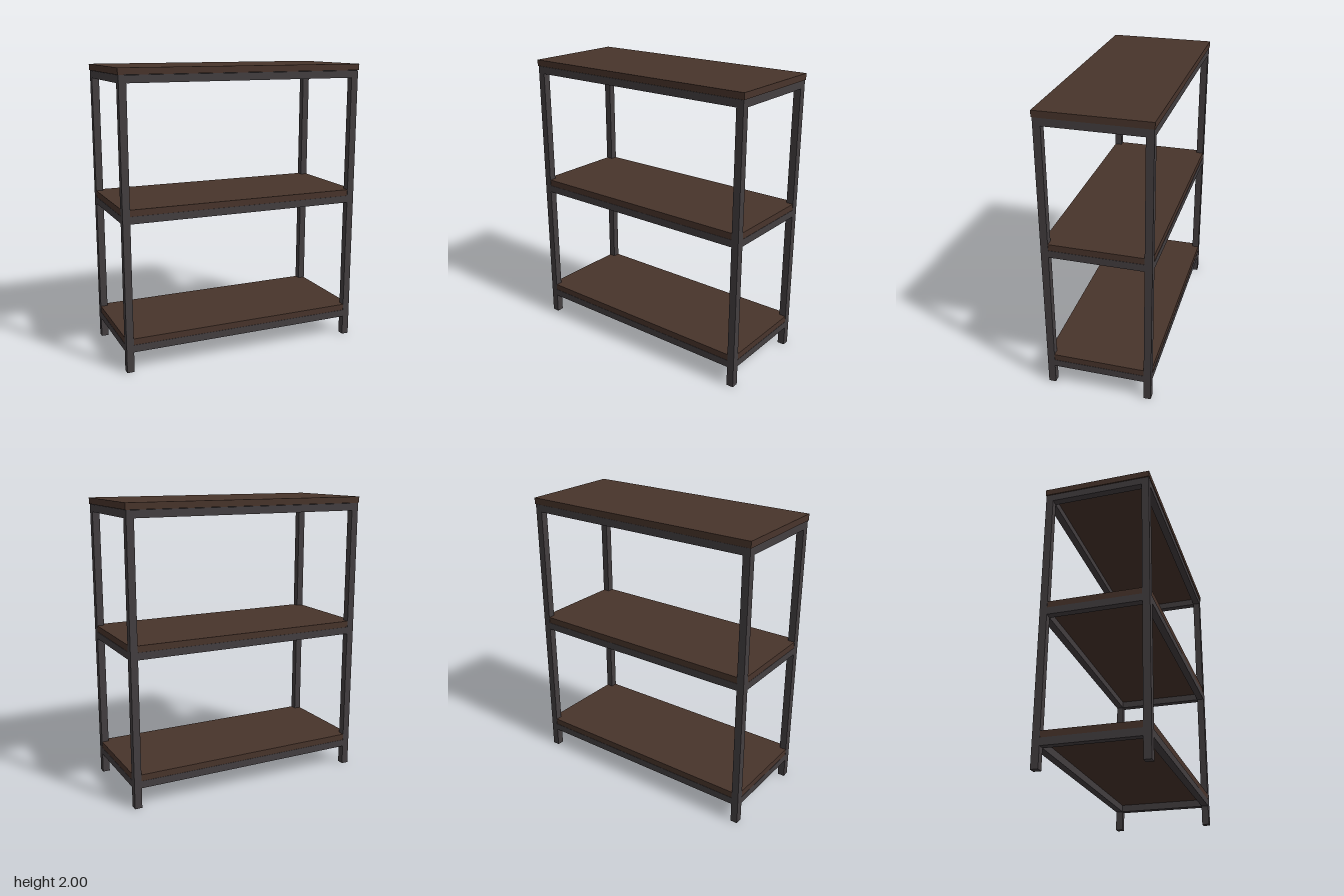
import * as THREE from 'three';

export function createModel() {
  const model = new THREE.Group();
  model.name = 'shelfUnit';

  const wood = new THREE.MeshStandardMaterial({ color: 0x48342b });
  wood.name = 'dark wood';
  const metal = new THREE.MeshStandardMaterial({ color: 0x433e40 });
  metal.name = 'dark metal';

  const X = 0.86, Z = 0.365; // outer half sizes of the frame
  const T = 0.05; // tube thickness
  const POST_TOP = 1.955;

  function box(name, w, h, d, x, y, z, material) {
    const mesh = new THREE.Mesh(new THREE.BoxGeometry(w, h, d), material);
    mesh.name = name;
    mesh.position.set(x, y, z);
    model.add(mesh);
  }

  // Board with its corners cut out around the posts
  function notchedBoard(name, bottom, thickness) {
    const x = X - 0.002, z = Z - 0.002, nx = X - T, nz = Z - T;
    const outline = [
      [nx, -z], [nx, -nz], [x, -nz], [x, nz], [nx, nz], [nx, z],
      [-nx, z], [-nx, nz], [-x, nz], [-x, -nz], [-nx, -nz], [-nx, -z],
    ].map(([a, b]) => new THREE.Vector2(a, b));
    const geometry = new THREE.ExtrudeGeometry(new THREE.Shape(outline), {
      depth: thickness, bevelEnabled: false,
    });
    geometry.rotateX(-Math.PI / 2);
    const mesh = new THREE.Mesh(geometry, wood);
    mesh.name = name;
    mesh.position.y = bottom;
    model.add(mesh);
  }

  // Corner posts
  for (const sx of [-1, 1]) {
    for (const sz of [-1, 1]) {
      const name = (sz > 0 ? 'front' : 'back') + (sx > 0 ? 'Left' : 'Right') + 'Post';
      box(name, T, POST_TOP, T, sx * (X - T / 2), POST_TOP / 2, sz * (Z - T / 2), metal);
    }
  }

  // Rails on all four sides of each level
  const levels = { bottom: 0.14, middle: 1.015, top: 1.905 };
  for (const [level, y] of Object.entries(levels)) {
    for (const s of [-1, 1]) {
      box(level + (s > 0 ? 'Front' : 'Back') + 'Rail',
        2 * (X - T), T, T, 0, y + T / 2, s * (Z - T / 2), metal);
      box(level + (s > 0 ? 'Left' : 'Right') + 'Rail',
        T, T, 2 * (Z - T), s * (X - T / 2), y + T / 2, 0, metal);
    }
  }

  // Shelf boards and the overhanging top
  notchedBoard('bottomShelf', levels.bottom + T, 0.044);
  notchedBoard('middleShelf', levels.middle + T, 0.044);
  box('topBoard', 1.73, 0.043, 0.738, 0, 1.9785, 0, wood);

  return model;
}
